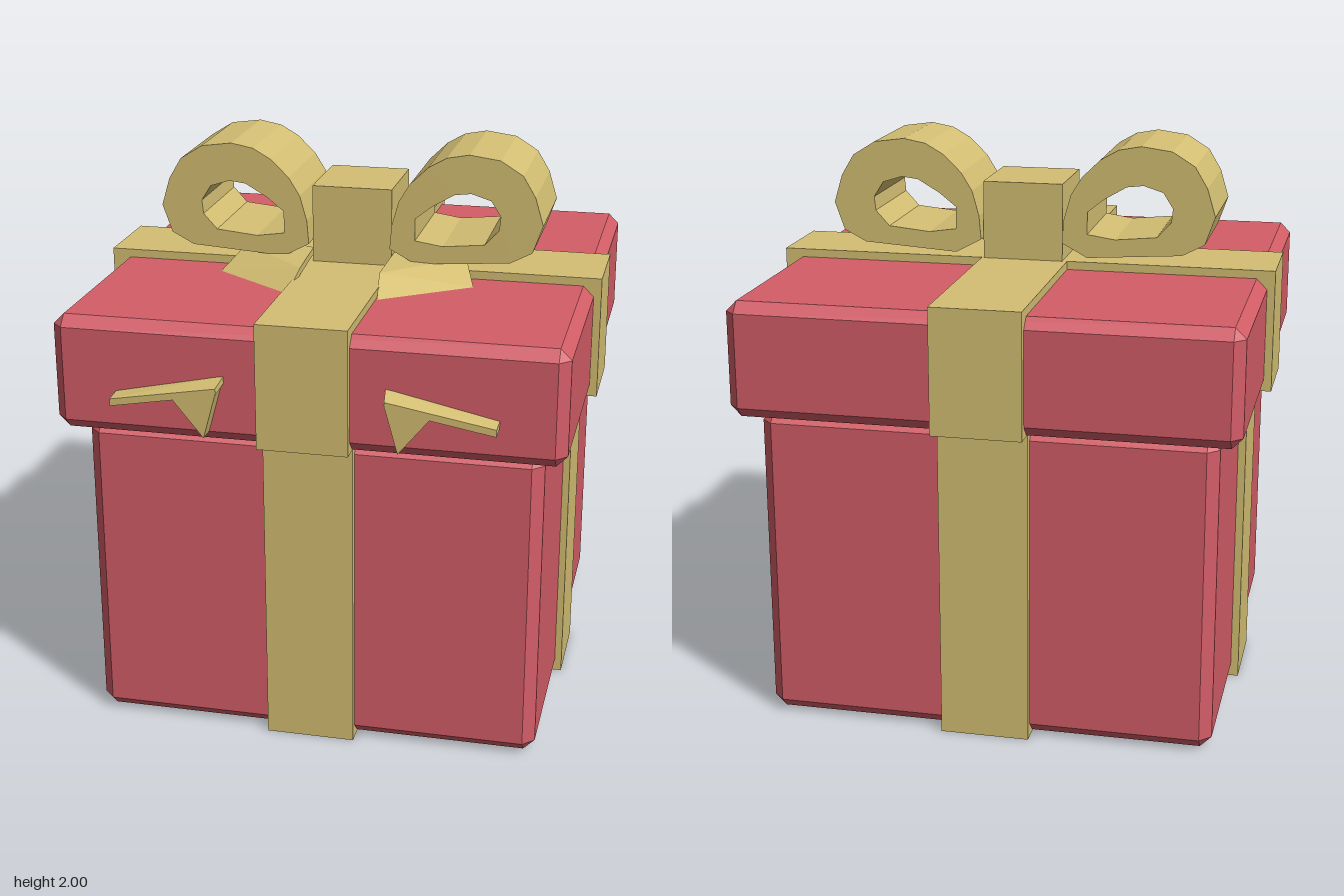
import * as THREE from 'three';
import { mergeGeometries } from 'three/addons/utils/BufferGeometryUtils.js';
import { ConvexGeometry } from 'three/addons/geometries/ConvexGeometry.js';

const V = (x, y, z) => new THREE.Vector3(x, y, z);

// Box between two corners with flat chamfers on every edge
function chamferBox(min, max, c) {
  const pts = [];
  for (const i of [0, 1]) for (const j of [0, 1]) for (const k of [0, 1]) {
    const corner = V(i ? max.x : min.x, j ? max.y : min.y, k ? max.z : min.z);
    const inset = V(i ? -c : c, j ? -c : c, k ? -c : c);
    for (const axis of ['x', 'y', 'z']) {
      const p = corner.clone().add(inset);
      p[axis] = corner[axis];
      pts.push(p);
    }
  }
  return new ConvexGeometry(pts);
}

function plainBox(min, max) {
  const size = max.clone().sub(min);
  const mid = min.clone().add(max).multiplyScalar(0.5);
  return new THREE.BoxGeometry(size.x, size.y, size.z).translate(mid.x, mid.y, mid.z);
}

export function createModel() {
  const group = new THREE.Group();
  const red = new THREE.MeshStandardMaterial({ color: 0xd35d67 });
  const gold = new THREE.MeshStandardMaterial({ color: 0xd4bf73 });
  red.name = 'wrapping red';
  gold.name = 'ribbon gold';

  const add = (name, geometry, material) => {
    const mesh = new THREE.Mesh(geometry, material);
    mesh.name = name;
    group.add(mesh);
  };

  // Box and lid
  add('boxBody', chamferBox(V(-0.797, 0.006, -0.812), V(0.795, 1.135, 0.778), 0.04), red);
  add('lid', chamferBox(V(-0.88, 1.132, -0.9), V(0.877, 1.54, 0.86), 0.038), red);

  // Crossing ribbon bands
  add('bodyRibbonFrontBack', plainBox(V(-0.16, 0, -0.842), V(0.153, 1.13, 0.805)), gold);
  add('bodyRibbonSides', plainBox(V(-0.825, 0, -0.175), V(0.82, 1.13, 0.14)), gold);
  add('lidRibbonFrontBack', plainBox(V(-0.16, 1.128, -0.928), V(0.155, 1.57, 0.885)), gold);
  add('lidRibbonSides', plainBox(V(-0.908, 1.128, -0.178), V(0.904, 1.57, 0.137)), gold);
  add('bowKnot', plainBox(V(-0.143, 1.56, -0.182), V(0.147, 1.85, 0.138)), gold);

  // Bow loop outline and hole, for the +x side
  const outer = [[0.695, 1.76], [0.66, 1.66], [0.58, 1.618], [0.24, 1.595], [0.148, 1.645],
    [0.155, 1.73], [0.18, 1.82], [0.22, 1.885], [0.285, 1.948], [0.35, 1.985], [0.43, 2],
    [0.54, 1.985], [0.62, 1.935], [0.665, 1.86]];
  const hole = [[0.24, 1.68], [0.34, 1.665], [0.49, 1.68], [0.54, 1.735], [0.545, 1.785],
    [0.51, 1.84], [0.44, 1.862], [0.38, 1.855], [0.3, 1.808], [0.24, 1.76]];

  // Tail cross-sections: [inner edge, outer edge], running down through the lid front
  const tail = [
    [[0.15, 1.61, 0.1], [0.4, 1.605, -0.02]],
    [[0.143, 1.6, 0.33], [0.41, 1.6, 0.08]],
    [[0.16, 1.54, 0.45], [0.462, 1.54, 0.235]],
    [[0.275, 1.372, 0.855], [0.655, 1.29, 0.855]],
    [[0.285, 1.35, 0.928], [0.655, 1.285, 0.928]],
  ];
  const thickness = 0.025;

  for (const [side, s] of [['left', 1], ['right', -1]]) {
    const mirror = list => list.map(([x, y]) => new THREE.Vector2(s * x, y));
    const shape = new THREE.Shape(mirror(outer));
    shape.holes.push(new THREE.Path(mirror(hole)));
    const loop = new THREE.ExtrudeGeometry(shape, { depth: 0.398, bevelEnabled: false });
    add(side + 'BowLoop', loop.translate(0, 0, -0.218), gold);

    // Each stretch of ribbon is a thin hull between neighbouring sections
    const stretches = [];
    for (let i = 0; i < tail.length - 1; i++) {
      const pts = [];
      for (const [x, y, z] of [...tail[i], ...tail[i + 1]]) {
        pts.push(V(s * x, y, z), V(s * x, y - thickness, z));
      }
      stretches.push(new ConvexGeometry(pts));
    }
    add(side + 'BowTail', mergeGeometries(stretches), gold);

    // Folded tip hanging under the tail
    const tip = new THREE.Shape(mirror([[0.283, 1.34], [0.33, 1.17], [0.44, 1.305]]));
    const tipGeometry = new THREE.ExtrudeGeometry(tip, { depth: 0.12, bevelEnabled: false });
    add(side + 'TailTip', tipGeometry.translate(0, 0, 0.805), gold);
  }
  return group;
}
